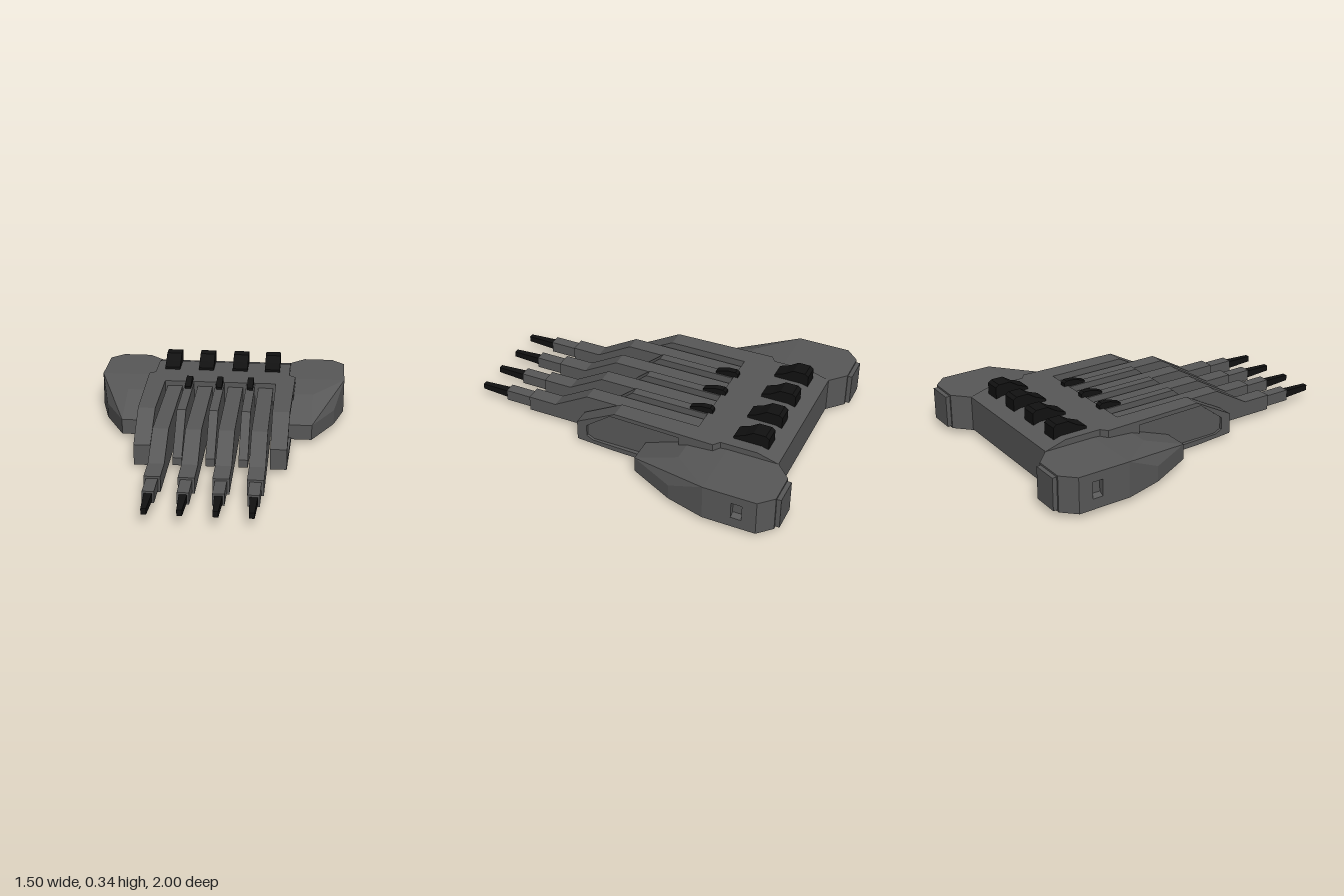
import * as THREE from 'three';
import { ConvexGeometry } from 'three/addons/geometries/ConvexGeometry.js';

const hullMat = new THREE.MeshStandardMaterial({ color: 0x585858, flatShading: true });
const blackMat = new THREE.MeshStandardMaterial({ color: 0x111111, flatShading: true });

const toShape = (pts) => new THREE.Shape(pts.map(([a, b]) => new THREE.Vector2(a, b)));

// Extrudes a (z, y) side profile across x, from x0 to x1
function sideProfile(pts, x0, x1, hole) {
  const shape = toShape(pts);
  if (hole) shape.holes.push(toShape(hole));
  const g = new THREE.ExtrudeGeometry(shape, { depth: x1 - x0, bevelEnabled: false });
  g.rotateY(-Math.PI / 2);
  g.translate(x1, 0, 0);
  return g;
}

function add(parent, name, geometry, material = hullMat) {
  const mesh = new THREE.Mesh(geometry, material);
  mesh.name = name;
  parent.add(mesh);
  return mesh;
}

function box(x0, x1, y0, y1, z0, z1) {
  const g = new THREE.BoxGeometry(x1 - x0, y1 - y0, z1 - z0);
  g.translate((x0 + x1) / 2, (y0 + y1) / 2, (z0 + z1) / 2);
  return g;
}

// Stepped barrel with a sloped shoulder and a tapered black tip
function barrel(x) {
  const g = new THREE.Group();
  g.name = 'barrel';
  g.position.x = x;
  add(g, 'barrelHousing', sideProfile(
    [[-0.45, 0.03], [0.67, 0.03], [0.67, 0.12], [0.5, 0.12], [0.29, 0.24], [-0.45, 0.24]], -0.045, 0.045));
  add(g, 'barrelSleeve', box(-0.032, 0.032, 0.042, 0.108, 0.66, 0.83));
  const tip = new THREE.BoxGeometry(0.044, 0.044, 0.18);
  const p = tip.attributes.position;
  for (let i = 0; i < p.count; i++) {
    if (p.getZ(i) > 0) p.setXY(i, p.getX(i) * 0.65, p.getY(i) * 0.75);
  }
  tip.translate(0, 0.075, 0.91);
  add(g, 'barrelTip', tip, blackMat);
  return g;
}

// Outer cheek with a recessed side panel
function cheek() {
  const g = new THREE.Group();
  g.name = 'cheek';
  const outline = [[-0.53, 0.01], [0.07, 0.01], [0.3, 0.02], [0.3, 0.14], [0.06, 0.27], [-0.53, 0.27]];
  add(g, 'cheekCore', sideProfile(outline, 0.335, 0.415));
  const skin = sideProfile(outline, 0.41, 0.45,
    [[0.24, 0.06], [0.2, 0.04], [-0.12, 0.04], [-0.33, 0.06], [-0.33, 0.245], [0.09, 0.245], [0.24, 0.13]]);
  const p = skin.attributes.position;
  for (let i = 0; i < p.count; i++) {
    if (p.getX(i) > 0.43) p.setX(i, 0.45 - 0.026 * (p.getZ(i) + 0.53));
  }
  skin.computeVertexNormals();
  add(g, 'cheekPanelFrame', skin);
  // Chamfer joining the cheek to the rear hull
  add(g, 'cheekChamfer', new ConvexGeometry([0.01, 0.27].flatMap((y) => [
    new THREE.Vector3(0.4, y, -0.52), new THREE.Vector3(0.45, y, -0.53), new THREE.Vector3(0.4, y, -0.57)])));
  return g;
}

// Faceted side pod, with a notch in its outer wall
function pod() {
  const g = new THREE.Group();
  g.name = 'sidePod';
  const lo = 0.03, hi = 0.235;
  const hull = (pts) => new ConvexGeometry(pts.map((q) => new THREE.Vector3(...q)));
  const column = (x, z, top) => [[x, lo, z], [x, top, z]];
  add(g, 'podNose', hull([
    ...column(0.41, -0.76, hi), ...column(0.75, -0.76, hi),
    ...column(0.41, -0.6, hi), ...column(0.75, -0.6, hi),
    ...column(0.69, -0.38, 0.12), ...column(0.56, -0.12, 0.12), ...column(0.41, -0.12, 0.12),
    [0.56, 0.215, -0.38], [0.41, 0.215, -0.38]]));
  const notched = new THREE.ExtrudeGeometry(toShape(
    [[0.41, lo], [0.75, lo], [0.75, 0.09], [0.72, 0.105], [0.72, 0.185], [0.75, 0.185], [0.75, hi], [0.41, hi]]),
    { depth: 0.06, bevelEnabled: false });
  notched.translate(0, 0, -0.82);
  add(g, 'podNotch', notched);
  add(g, 'podTail', hull([
    ...column(0.41, -0.82, hi), ...column(0.75, -0.82, hi), ...column(0.75, -0.9, hi),
    ...column(0.675, -0.975, hi), ...column(0.5, -0.975, hi), ...column(0.41, -0.89, hi)]));
  add(g, 'podEndPlate', box(0.51, 0.665, 0.04, 0.225, -1, -0.97));
  return g;
}

export function createModel() {
  const model = new THREE.Group();
  model.name = 'ship';

  // Rear hull block with bevelled rear edges
  add(model, 'rearHull', sideProfile(
    [[-0.4, 0.01], [-0.4, 0.27], [-0.77, 0.27], [-0.89, 0.235], [-0.89, 0.035], [-0.83, 0.03], [-0.77, 0]],
    -0.413, 0.413));

  // Four barrels, with open slots between them and the ribs
  for (const x of [-0.275, -0.092, 0.092, 0.275]) model.add(barrel(x));

  // Three ribs, each with a small black turret
  for (const x of [-0.185, 0, 0.185]) {
    add(model, 'rib', sideProfile(
      [[-0.42, 0.012], [0.07, 0.012], [0.29, 0.02], [0.29, 0.065], [0.06, 0.265], [-0.42, 0.265]],
      x - 0.026, x + 0.026));
    add(model, 'smallTurret', sideProfile(
      [[-0.29, 0.255], [-0.29, 0.278], [-0.36, 0.3], [-0.41, 0.302], [-0.425, 0.29], [-0.425, 0.255]],
      x - 0.018, x + 0.018), blackMat);
  }

  // Four large black turrets across the rear deck
  for (const x of [-0.315, -0.105, 0.105, 0.305]) {
    add(model, 'largeTurret', sideProfile(
      [[-0.61, 0.26], [-0.61, 0.285], [-0.67, 0.308], [-0.72, 0.34], [-0.79, 0.34], [-0.81, 0.325], [-0.81, 0.25]],
      x - 0.046, x + 0.046), blackMat);
  }

  // Mirrored cheeks and side pods
  for (const side of [1, -1]) {
    const half = new THREE.Group();
    half.name = side > 0 ? 'leftSide' : 'rightSide';
    half.scale.x = side;
    half.add(cheek(), pod());
    model.add(half);
  }
  return model;
}
